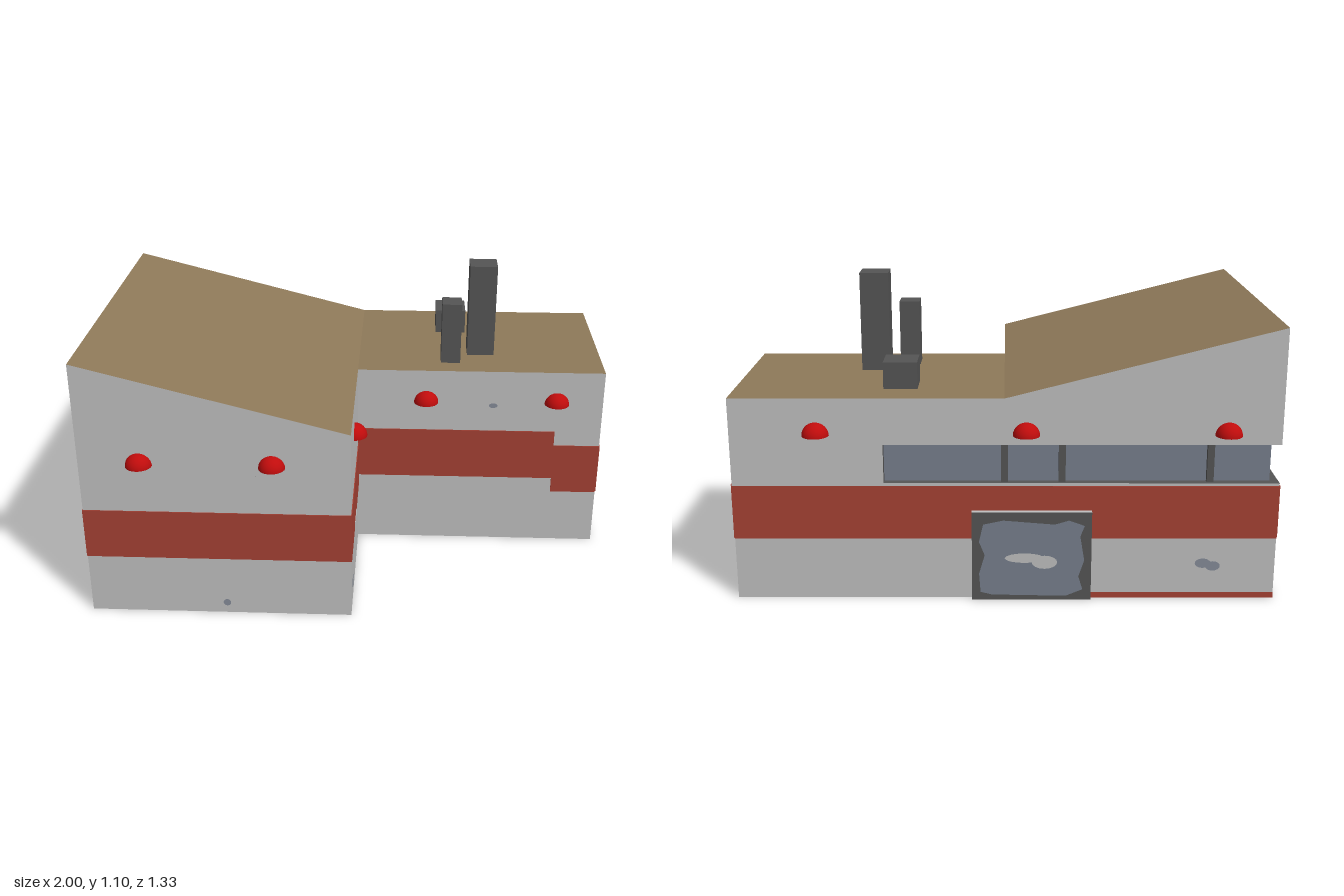
import * as THREE from 'three';

const material = (name, color) => {
  const m = new THREE.MeshStandardMaterial({ color });
  m.name = name;
  return m;
};

export function createModel() {
  const model = new THREE.Group();
  model.name = 'building';
  const wall = material('wallGrey', 0xbfbfbf);
  const red = material('bandRed', 0xa54134);
  const roof = material('roofBrown', 0x8e7959);
  const dark = material('darkGrey', 0x555555);
  const lampRed = material('lampRed', 0xc00c0c);
  const glass = material('glassBlueGrey', 0x767e8c);
  const stain = material('stainGrey', 0x858b98);

  const add = (name, geometry, mat) => {
    const mesh = new THREE.Mesh(geometry, mat);
    mesh.name = name;
    model.add(mesh);
    return mesh;
  };
  // Box from its limits; mat may list the faces +x -x +y -y +z -z
  const box = (name, [x0, x1], [y0, y1], [z0, z1], mat) => {
    const g = new THREE.BoxGeometry(x1 - x0, y1 - y0, z1 - z0);
    g.translate((x0 + x1) / 2, (y0 + y1) / 2, (z0 + z1) / 2);
    return add(name, g, mat);
  };

  // Footprint limits of the L-shaped building
  const L = -0.955, R = 0.948, B = -0.62, F = 0.615, C = 0.043;
  const sill = 0.43, head = 0.57, eave = 0.735, peak = 0.98, inset = 0.03;
  const winEnd = 0.42, winSide = 0.05;

  // Lower storey: the top shows as the window sill
  const lower = [wall, wall, dark, dark, wall, wall];
  box('westBase', [L, 0], [0, sill], [B, F], lower);
  box('eastBase', [0, R], [0, sill], [B, C], lower);

  // Window level, set back behind the glazing
  const westGlass = [wall, glass, dark, dark, wall, glass];
  const eastGlass = [wall, wall, dark, dark, wall, glass];
  box('westGlazing', [L + inset, 0], [sill, head], [B + inset, F], westGlass);
  box('westPier', [L, 0], [sill, head], [winSide, F], [wall, wall, dark, dark, wall, dark]);
  box('eastGlazing', [0, winEnd], [sill, head], [B + inset, C], eastGlass);
  box('eastPier', [winEnd, R], [sill, head], [B, C], [wall, dark, dark, dark, wall, wall]);
  for (const x of [0, -0.2, -0.715]) {
    box('mullion', [x - 0.012, x + 0.012], [sill, head], [B + 0.012, B + inset + 0.01], dark);
  }

  // Upper walls and roof; the west roof slopes up to the left
  const upper = [wall, wall, roof, dark, wall, wall];
  const westTop = box('westTop', [L, 0], [head, eave], [B, F], upper);
  const p = westTop.geometry.attributes.position;
  for (let i = 0; i < p.count; i++) {
    if (p.getX(i) < -0.5 && p.getY(i) > 0.7) p.setY(i, peak);
  }
  westTop.geometry.computeVertexNormals();
  box('eastTop', [0, R], [head, eave], [B, C], upper);

  // Red bands, as thin plates around the walls
  const t = 0.003;
  box('bandFrontWest', [L, t], [0.23, 0.42], [F, F + t], red);
  box('bandFrontEast', [0, 0.77], [0.28, 0.485], [C, C + t], red);
  box('bandFrontStep', [0.77, R], [0.22, 0.425], [C, C + t], red);
  box('bandInner', [0, t], [0.23, 0.42], [C, F], red);
  box('bandRight', [R, R + t], [0.225, 0.425], [B, C], red);
  box('bandLeft', [L - t, L], [0.23, 0.42], [B, F], red);
  box('bandBack', [L, R], [0.225, 0.42], [B - t, B], red);
  box('bandBackFoot', [L, -0.305], [0, 0.02], [B - t, B], red);
  box('wallHatch', [0, 0.005], [0.165, 0.25], [0.27, 0.37], wall);

  // Chimneys
  box('tallChimney', [0.425, 0.53], [eave, 1.1], [-0.225, -0.125], dark);
  box('middleChimney', [0.32, 0.395], [eave, 0.975], [-0.125, -0.04], dark);
  box('lowChimney', [0.305, 0.425], [eave, 0.83], [-0.495, -0.37], dark);

  // Half-dome lamps, half sunk in the walls
  const dome = new THREE.SphereGeometry(0.047, 24, 10, 0, Math.PI * 2, 0, Math.PI / 2);
  const lamps = [[-0.77, B], [-0.075, B], [0.65, B], [L, -0.28], [L, 0.265], [R, -0.27],
    [0.265, C], [0.77, C], [0, 0.345], [-0.74, F], [-0.275, F]];
  for (const [x, z] of lamps) add('lamp', dome, lampRed).position.set(x, 0.603, z);

  // Back door with a worn panel
  box('door', [-0.305, 0.115], [0, 0.33], [B - 0.02, B], [wall, wall, wall, dark, wall, dark]);
  const outline = [[-0.18, 0.03], [-0.14, 0.02], [0.12, 0.015], [0.18, 0.04], [0.165, 0.09], [0.185, 0.15],
    [0.17, 0.24], [0.185, 0.28], [0.13, 0.3], [0.08, 0.285], [-0.1, 0.3], [-0.17, 0.285],
    [-0.185, 0.22], [-0.165, 0.17], [-0.185, 0.1]];
  const panel = add('doorPanel', new THREE.ShapeGeometry(
    new THREE.Shape(outline.map(([x, y]) => new THREE.Vector2(x, y)))), glass);
  panel.rotation.y = Math.PI;
  panel.position.set(-0.095, 0, B - 0.022);

  // Flat oval marks: position, half sizes, facing angle
  const disc = new THREE.CircleGeometry(1, 16);
  const mark = (name, x, y, z, w, h, angle, mat) => {
    const m = add(name, disc, mat);
    m.position.set(x, y, z);
    m.scale.set(w, h, 1);
    m.rotation.y = angle;
  };
  const q = Math.PI / 2, e = 0.004;
  mark('doorScuff', -0.07, 0.16, B - 0.025, 0.07, 0.018, 2 * q, wall);
  mark('doorScuff', -0.14, 0.145, B - 0.026, 0.045, 0.025, 2 * q, wall);
  mark('stain', -0.455, 0.045, F + e, 0.014, 0.014, 0, stain);
  mark('stain', 0.525, 0.594, C + e, 0.017, 0.01, 0, stain);
  mark('stain', R + e, 0.12, -0.31, 0.011, 0.01, q, stain);
  mark('stain', R + e, 0.045, -0.012, 0.012, 0.012, q, stain);
  mark('stain', -0.7, 0.132, B - e, 0.028, 0.018, 2 * q, stain);
  mark('stain', -0.735, 0.122, B - e - 0.001, 0.026, 0.018, 2 * q, stain);
  mark('stain', L - e, 0.115, 0.415, 0.025, 0.018, -q, stain);
  for (const [x, z] of [[0, 0.57], [R, -0.51]]) {
    mark('stain', x + e, 0.124, z + 0.015, 0.028, 0.018, q, stain);
    mark('stain', x + e + 0.001, 0.115, z - 0.015, 0.025, 0.02, q, stain);
  }
  return model;
}
